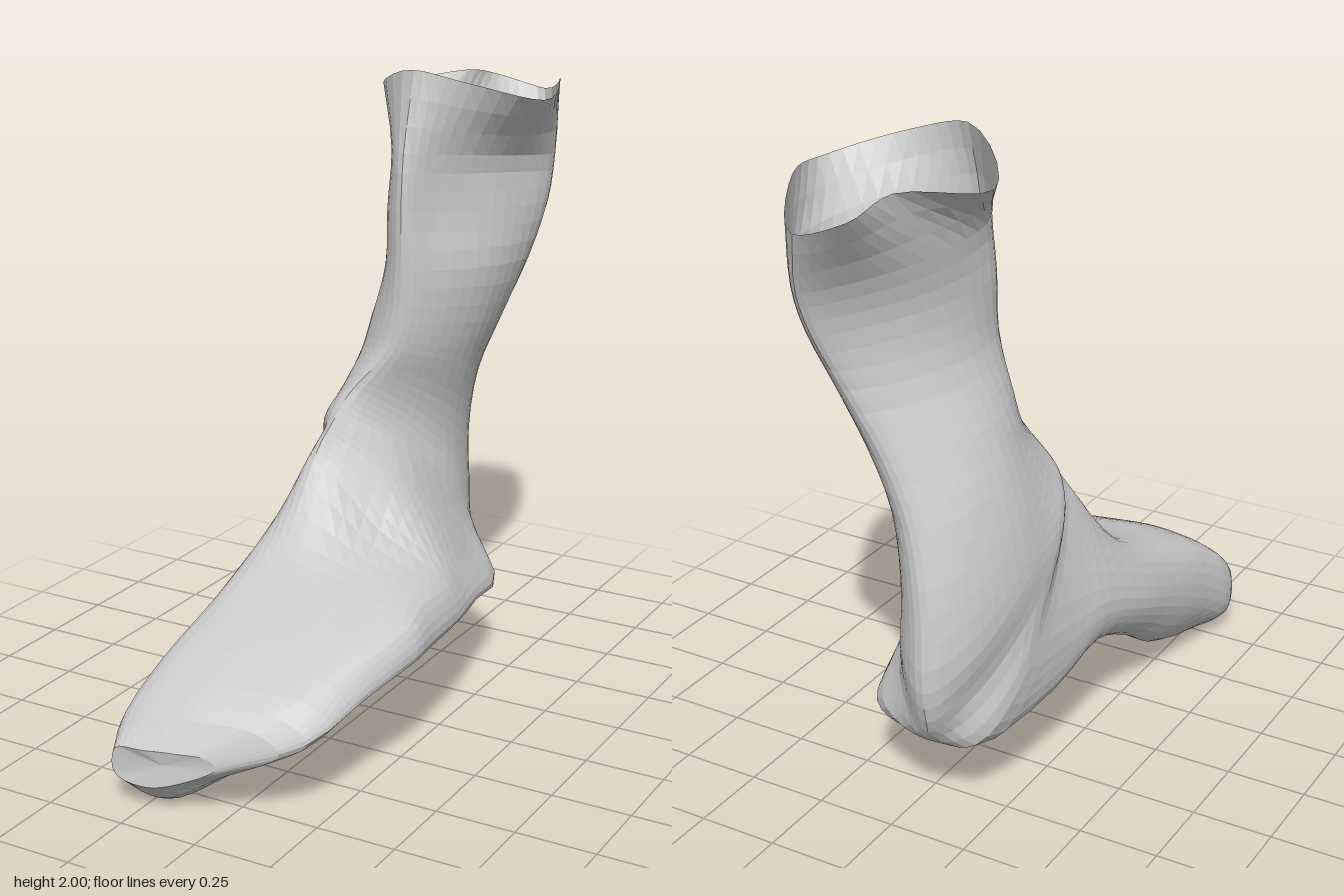
import * as THREE from 'three';

const AROUND = 40, STEPS = 3;
const lerp = THREE.MathUtils.lerp;

// Open, wavy cuff: front, then round by the left side (+x)
const rim = [
  [0.03, 2.0, -0.22], [0.2, 1.965, -0.26], [0.37, 1.91, -0.41], [0.3, 1.935, -0.68],
  [0.14, 1.86, -0.915], [0.0, 1.9, -0.87], [-0.03, 1.935, -0.7], [-0.2, 1.91, -0.47],
];

// Leg and heel rings: front y, z; back y, z; min x, max x; front x, back x; skew
const legRows = [
  [1.76, -0.155, 1.67, -0.845, -0.05, 0.23, 0.03, 0.19, 0.05],
  [1.58, -0.14, 1.53, -0.795, -0.04, 0.22, 0.03, 0.18, 0.06],
  [1.4, -0.14, 1.36, -0.73, -0.07, 0.22, 0.03, 0.13, 0.04],
  [1.24, -0.14, 1.15, -0.69, -0.155, 0.175, 0.02, 0.03, 0.02],
  [1.15, -0.132, 0.95, -0.69, -0.21, 0.125, -0.01, -0.05, 0],
  [1.08, -0.115, 0.7, -0.72, -0.255, 0.085, -0.06, -0.1, 0],
  [1.02, -0.095, 0.47, -0.735, -0.28, 0.08, -0.11, -0.11, 0.01],
  [0.965, -0.07, 0.32, -0.695, -0.285, 0.1, -0.14, -0.1, 0.025],
];

// Foot rings: z, sideways slant, backward lean, then x, y pairs for
// ridge, left slope, upper and lower left edge, sole, right edge, right side, right slope
const instepRows = [
  [-0.045, 0, 0.83, -0.16, 0.91, 0.02, 0.79, 0.13, 0.46, 0.16, 0.28, -0.04, 0.235, -0.2, 0.25, -0.285, 0.45, -0.24, 0.8],
  [-0.02, 0, 0.44, -0.18, 0.86, 0.03, 0.71, 0.21, 0.45, 0.25, 0.33, 0, 0.29, -0.26, 0.27, -0.31, 0.44, -0.26, 0.73],
  [0.02, 0, 0.1, -0.19, 0.8, 0.035, 0.61, 0.27, 0.465, 0.3, 0.35, 0.02, 0.365, -0.28, 0.335, -0.34, 0.45, -0.28, 0.67],
  [0.2, 0, 0, -0.18, 0.6, 0.08, 0.54, 0.29, 0.48, 0.325, 0.36, 0.04, 0.35, -0.28, 0.25, -0.365, 0.37, -0.3, 0.55],
];
const toeRows = [
  [0.4, 0.15, 0, -0.14, 0.5, 0.12, 0.5, 0.31, 0.46, 0.335, 0.36, 0.03, 0.3, -0.27, 0.12, -0.365, 0.28, -0.31, 0.46],
  [0.65, 0.25, 0, -0.16, 0.41, 0.06, 0.42, 0.25, 0.4, 0.29, 0.32, 0.01, 0.215, -0.26, 0.03, -0.365, 0.15, -0.33, 0.36],
  [0.82, 0.17, 0, -0.18, 0.31, 0, 0.325, 0.15, 0.31, 0.22, 0.25, 0.01, 0.13, -0.22, 0, -0.365, 0.06, -0.35, 0.25],
  [0.915, 0.25, 0, -0.23, 0.195, -0.13, 0.2, -0.04, 0.195, -0.01, 0.17, -0.1, 0.115, -0.22, 0.08, -0.33, 0.1, -0.325, 0.18],
];

// Tilted lens-shaped ring of eight points
function legRing([yF, zF, yB, zB, xMin, xMax, xF, xB, skew]) {
  return Array.from({ length: 8 }, (_, i) => {
    const a = i * Math.PI / 4, f = (1 - Math.cos(a)) / 2, s = Math.sin(a);
    const x = lerp(lerp(xF, xB, f), s > 0 ? xMax : xMin, Math.abs(s) ** 1.25);
    return [x - 2 * skew * Math.cos(a) * Math.abs(s), lerp(yF, yB, f), lerp(zF, zB, f)];
  });
}

// Leaning ring of eight points across the foot
function footRing([z, slant, lean, ...p]) {
  return Array.from({ length: 8 }, (_, i) => {
    const x = p[2 * i], y = p[2 * i + 1];
    return [x, y, z - slant * Math.max(0, x + 0.2) - lean * (p[1] - y)];
  });
}

// Smooth closed loop through a ring's points
function smoothLoop(points) {
  const curve = new THREE.CatmullRomCurve3(points.map(p => new THREE.Vector3(...p)), true);
  return Array.from({ length: AROUND }, (_, j) => curve.getPoint(j / AROUND));
}

// Skin over the loops, open at the first and capped at the last
function loft(loops) {
  const rows = (loops.length - 1) * STEPS;
  const columns = loops[0].map((_, j) => new THREE.CatmullRomCurve3(loops.map(l => l[j])));
  const points = [], index = [];
  for (let i = 0; i <= rows; i++) {
    for (const c of columns) points.push(c.getPoint(i / rows));
  }
  for (let i = 0; i < rows; i++) {
    for (let j = 0; j < AROUND; j++) {
      const k = (j + 1) % AROUND, a = i * AROUND, b = a + AROUND;
      index.push(a + j, b + j, b + k, a + j, b + k, a + k);
    }
  }
  const end = rows * AROUND, tip = points.length;
  const centre = new THREE.Vector3();
  for (let j = 0; j < AROUND; j++) {
    centre.addScaledVector(points[end + j], 1 / AROUND);
    index.push(tip, end + (j + 1) % AROUND, end + j);
  }
  points.push(centre);
  const geometry = new THREE.BufferGeometry().setFromPoints(points);
  geometry.setIndex(index);
  geometry.computeVertexNormals();
  return geometry;
}

export function createModel() {
  const group = new THREE.Group();
  group.name = 'foot';
  const rings = [rim, ...legRows.map(legRing), ...[...instepRows, ...toeRows].map(footRing)];

  // One continuous skin from the cuff round the heel to the toe
  const skin = new THREE.Mesh(
    loft(rings.map(smoothLoop)),
    new THREE.MeshStandardMaterial({ color: 0xcccccc, flatShading: true, side: THREE.DoubleSide }),
  );
  skin.name = 'legAndFoot';
  group.add(skin);
  return group;
}
